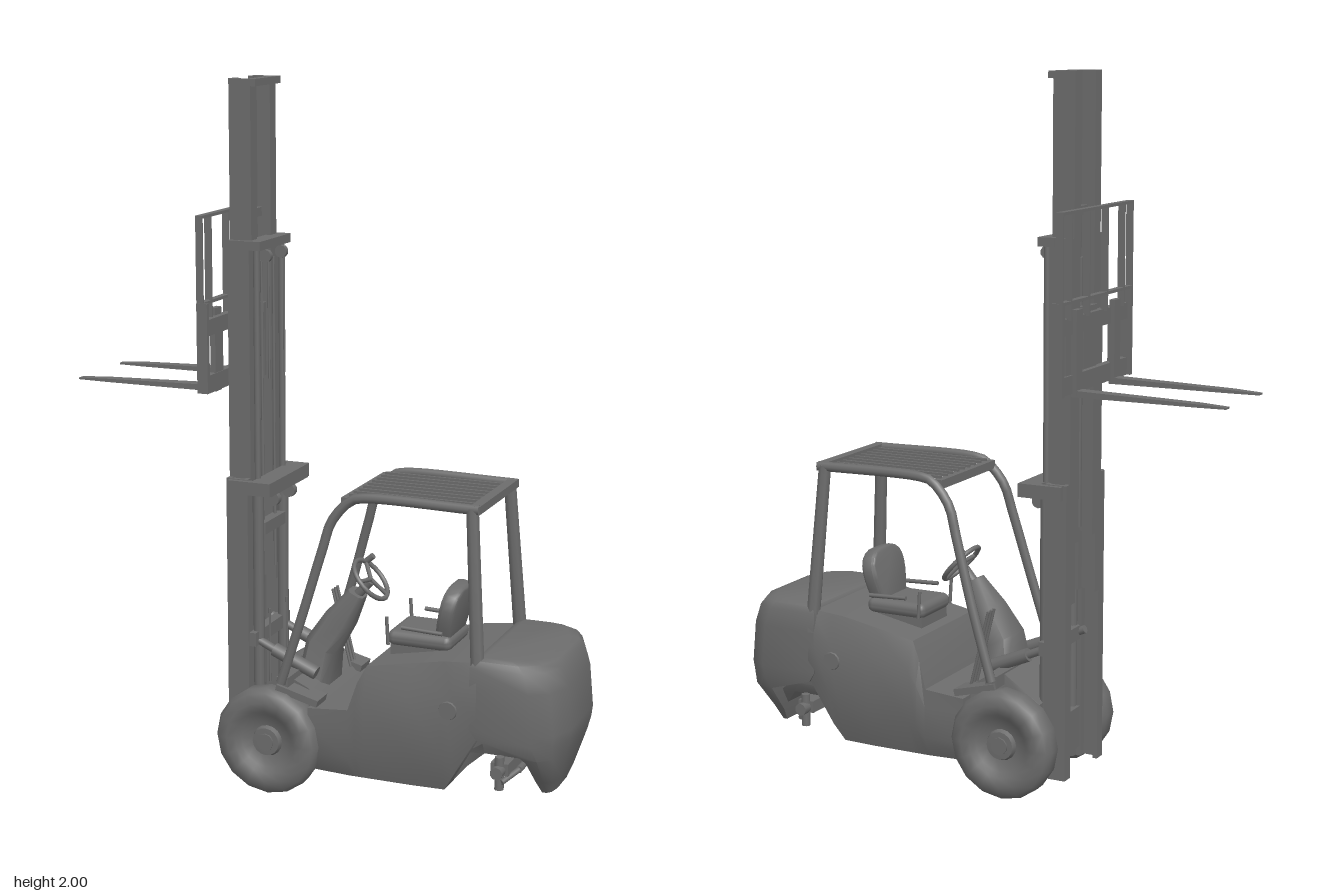
import * as THREE from 'three';
import { toCreasedNormals } from 'three/addons/utils/BufferGeometryUtils.js';
import { RoundedBoxGeometry } from 'three/addons/geometries/RoundedBoxGeometry.js';

const mat = new THREE.MeshStandardMaterial({ color: 0x6c6c6c, side: THREE.DoubleSide });
const V = (x, y, z) => new THREE.Vector3(x, y, z);

export function createModel() {
  const root = new THREE.Group();
  root.name = 'forklift';
  const add = (name, geo, parent = root) => {
    const m = new THREE.Mesh(geo, mat);
    m.name = name;
    parent.add(m);
    return m;
  };
  const group = (name) => {
    const g = new THREE.Group();
    g.name = name;
    root.add(g);
    return g;
  };
  // Box given by its extents on each axis
  const box = (name, x0, x1, y0, y1, z0, z1, parent) => {
    const m = add(name, new THREE.BoxGeometry(x1 - x0, y1 - y0, z1 - z0), parent);
    m.position.set((x0 + x1) / 2, (y0 + y1) / 2, (z0 + z1) / 2);
    return m;
  };
  // Round bar between two points
  const rod = (name, a, b, r, parent, r2 = r, sides = 10) => {
    const m = add(name, new THREE.CylinderGeometry(r2, r, a.distanceTo(b), sides), parent);
    m.position.copy(a).add(b).multiplyScalar(0.5);
    m.quaternion.setFromUnitVectors(V(0, 1, 0), b.clone().sub(a).normalize());
    return m;
  };
  // Skin over a list of rings, capped at both ends
  const loft = (rings, crease = 0.6) => {
    const n = rings[0].length, pts = rings.flat(), idx = [];
    for (let i = 0; i < rings.length - 1; i++) for (let j = 0; j < n; j++) {
      const a = i * n + j, b = i * n + (j + 1) % n;
      idx.push(a, b, a + n, b, b + n, a + n);
    }
    const last = (rings.length - 1) * n;
    for (let j = 1; j < n - 1; j++) idx.push(0, j + 1, j, last, last + j, last + j + 1);
    // turn all faces outward
    let vol = 0;
    for (let i = 0; i < idx.length; i += 3)
      vol += pts[idx[i]].dot(pts[idx[i + 1]].clone().cross(pts[idx[i + 2]]));
    if (vol < 0) idx.reverse();
    const g = new THREE.BufferGeometry().setFromPoints(pts);
    g.setIndex(idx);
    return toCreasedNormals(g, crease);
  };
  // Body section at x: bottom, top, half widths at bottom, waist and top
  const section = ([x, b, t, wb, wm, wt]) => {
    const h = t - b;
    const half = [[wb, b], [wm, b + h * 0.3], [wm, b + h * 0.75], [wt, t]];
    return [...half.map(([z, y]) => V(x, y, z)), ...half.reverse().map(([z, y]) => V(x, y, -z))];
  };

  // Chassis with step, hood and rear arch
  add('chassis', loft([
    [0.0, 0.08, 0.27, 0.17, 0.2, 0.2], [0.12, 0.08, 0.28, 0.18, 0.205, 0.2],
    [0.145, 0.08, 0.36, 0.18, 0.21, 0.19], [0.17, 0.08, 0.41, 0.18, 0.21, 0.18],
    [0.3, 0.08, 0.435, 0.18, 0.212, 0.18], [0.4, 0.08, 0.455, 0.175, 0.212, 0.185],
    [0.43, 0.13, 0.458, 0.19, 0.212, 0.188], [0.5, 0.25, 0.465, 0.2, 0.212, 0.19],
  ].map(section)));
  add('frontChassis', loft([
    [-0.2, 0.12, 0.26, 0.11, 0.13, 0.12], [-0.1, 0.09, 0.34, 0.13, 0.14, 0.14],
    [-0.02, 0.08, 0.31, 0.14, 0.15, 0.15], [0.02, 0.08, 0.27, 0.14, 0.16, 0.16],
  ].map(section)));
  // Belly closing the arch between chassis and counterweight
  add('underbelly', loft([
    [0.4, 0.085, 0.3, 0.13, 0.15, 0.15], [0.45, 0.14, 0.3, 0.13, 0.15, 0.15],
    [0.5, 0.185, 0.3, 0.13, 0.15, 0.15], [0.6, 0.185, 0.3, 0.13, 0.15, 0.15],
    [0.66, 0.12, 0.3, 0.09, 0.13, 0.13],
  ].map(section)));

  // Counterweight: level outlines [y, front x, rear x, half width]
  add('counterweight', loft([
    [0.08, 0.655, 0.685, 0.09], [0.12, 0.645, 0.7, 0.12], [0.21, 0.635, 0.725, 0.2],
    [0.25, 0.5, 0.735, 0.208], [0.28, 0.48, 0.738, 0.212], [0.4, 0.48, 0.727, 0.212],
    [0.455, 0.48, 0.71, 0.208], [0.473, 0.49, 0.695, 0.2], [0.48, 0.51, 0.67, 0.185],
  ].map(([y, f, r, w]) => {
    const c = Math.min(0.08, (r - f) * 0.6);
    const half = [[f, w], [r - c, w], [r - c * 0.35, w * 0.85], [r, w * 0.5]];
    return [...half.map(([x, z]) => V(x, y, z)), ...half.reverse().map(([x, z]) => V(x, y, -z))];
  }), 0.8));

  // Rear steering axle
  const axle = group('rearAxle');
  box('axleBeam', 0.525, 0.575, 0.135, 0.17, -0.15, 0.15, axle);
  box('axleMount', 0.52, 0.58, 0.16, 0.27, -0.07, 0.07, axle);
  rod('steeringRam', V(0.59, 0.14, -0.1), V(0.59, 0.14, 0.1), 0.01, axle);

  // Drive wheels: domed tyre with recessed rim and hub
  const tyre = [[0.03, -0.035], [0.09, -0.04], [0.145, -0.036], [0.156, -0.02], [0.157, 0.018],
    [0.145, 0.035], [0.118, 0.042], [0.092, 0.038], [0.078, 0.024], [0.045, 0.016], [0.04, 0.03], [0, 0.032]];
  for (const s of [1, -1]) {
    const wheel = add('frontWheel', toCreasedNormals(
      new THREE.LatheGeometry(tyre.map(([r, y]) => new THREE.Vector2(r, y)), 16), 0.9));
    wheel.rotation.x = s * Math.PI / 2;
    wheel.position.set(-0.123, 0.157, s * 0.186);
    rod('wheelHub', V(-0.123, 0.157, s * 0.12), V(-0.123, 0.157, s * 0.222), 0.025);
    // Axle ends without wheels
    rod('kingpin', V(0.55, 0.095, s * 0.15), V(0.55, 0.19, s * 0.15), 0.013, axle);
    rod('stubAxle', V(0.55, 0.15, s * 0.13), V(0.55, 0.15, s * 0.18), 0.018, axle);
    rod('trackRod', V(0.59, 0.14, s * 0.1), V(0.56, 0.12, s * 0.16), 0.008, axle);
    // Side filler cap and mudguard lip
    rod('sideCap', V(0.42, 0.325, s * 0.19), V(0.42, 0.325, s * 0.217), 0.035, root, 0.025, 12);
    box('fender', -0.1, 0.03, 0.29, 0.31, s > 0 ? 0.13 : -0.2, s > 0 ? 0.2 : -0.13).rotation.z = -0.25;
  }

  // Overhead guard
  const guard = group('overheadGuard');
  for (const s of [1, -1]) {
    const path = [[-0.085, 0.33, 0.192], [-0.02, 0.54, 0.185], [0.035, 0.73, 0.173], [0.06, 0.81, 0.167],
      [0.115, 0.872, 0.162], [0.15, 0.882, 0.162], [0.485, 0.882, 0.162]];
    add('guardRail', new THREE.TubeGeometry(new THREE.CatmullRomCurve3(
      path.map(([x, y, z]) => V(x, y, z * s)), false, 'centripetal'), 32, 0.014, 8), guard);
    rod('rearPost', V(0.495, 0.45, s * 0.187), V(0.465, 0.885, s * 0.16), 0.02, guard, 0.018, 8);
  }
  for (let i = 0; i < 9; i++) {
    const z = -0.136 + i * 0.034;
    box('roofSlat', 0.1, 0.48, 0.877, 0.885, z - 0.004, z + 0.004, guard);
  }
  box('roofRearBar', 0.46, 0.488, 0.87, 0.893, -0.17, 0.17, guard);
  box('roofFrontBar', 0.085, 0.11, 0.853, 0.878, -0.16, 0.16, guard);
  box('guardFootBar', -0.1, -0.065, 0.31, 0.345, -0.19, 0.19, guard);

  // Seat
  const seat = group('seat');
  box('seatBase', 0.2, 0.37, 0.41, 0.45, -0.075, 0.075, seat);
  add('cushion', new RoundedBoxGeometry(0.19, 0.045, 0.17, 2, 0.02), seat).position.set(0.285, 0.465, 0);
  const back = new THREE.Shape();
  back.moveTo(-0.045, 0).lineTo(0.045, 0);
  back.bezierCurveTo(0.09, 0.1, 0.1, 0.16, 0.03, 0.172);
  back.lineTo(-0.03, 0.172);
  back.bezierCurveTo(-0.1, 0.16, -0.09, 0.1, -0.045, 0);
  const backrest = add('seatBack', toCreasedNormals(new THREE.ExtrudeGeometry(back, {
    depth: 0.025, bevelSize: 0.008, bevelThickness: 0.01, bevelSegments: 2, curveSegments: 8 })
    .rotateY(Math.PI / 2), 0.8), seat);
  backrest.position.set(0.33, 0.45, 0);
  backrest.rotation.z = -0.22;
  for (const s of [1, -1]) {
    rod('armrest', V(0.24, 0.505, s * 0.095), V(0.36, 0.5, s * 0.095), 0.006, seat);
    rod('armrestFront', V(0.2, 0.45, s * 0.095), V(0.195, 0.53, s * 0.095), 0.005, seat);
  }

  // Steering column, wheel and levers
  const steering = group('steering');
  add('cowl', loft([[-0.045, 0.3, 0.045, 0.08], [-0.03, 0.4, 0.042, 0.06], [0.02, 0.48, 0.038, 0.045],
    [0.07, 0.56, 0.022, 0.03]].map(([x, y, d, w]) =>
    [[1, 0.6], [0.6, 1], [-0.6, 1], [-1, 0.6], [-1, -0.6], [-0.6, -1], [0.6, -1], [1, -0.6]]
      .map(([a, b]) => V(x + a * d, y - a * d * 0.5, b * w))), 0.9), steering);
  rod('column', V(0.05, 0.53, 0), V(0.108, 0.598, 0), 0.014, steering);
  const wheel = new THREE.Group();
  wheel.name = 'steeringWheel';
  wheel.position.set(0.11, 0.603, 0);
  wheel.quaternion.setFromUnitVectors(V(0, 0, 1), V(0.75, 0.66, 0).normalize());
  steering.add(wheel);
  add('rim', new THREE.TorusGeometry(0.066, 0.007, 8, 24), wheel);
  for (let i = 0; i < 3; i++) {
    const a = Math.PI / 2 + i * Math.PI * 2 / 3;
    rod('spoke', V(0, 0, 0), V(Math.cos(a) * 0.066, Math.sin(a) * 0.066, 0), 0.006, wheel);
  }
  rod('spinnerKnob', V(0, 0.066, 0), V(0, 0.066, 0.03), 0.009, wheel);
  for (let i = 0; i < 3; i++)
    rod('lever', V(0.0, 0.29, -0.12 - i * 0.018), V(-0.06, 0.52, -0.125 - i * 0.018), 0.004, steering);

  // Mast: three nested pairs of channels [name, bottom, top, inner z, outer z]
  const mast = group('mast');
  for (const [name, y0, y1, zi, zo] of [['outerChannel', 0.05, 0.89, 0.09, 0.125],
    ['middleChannel', 0.55, 1.56, 0.066, 0.102], ['innerChannel', 0.72, 2, 0.045, 0.084]]) {
    for (const s of [1, -1]) {
      const [a, w, b] = [s * zi, s * (zo - 0.012), s * zo];
      const c = new THREE.Shape([[-0.28, a], [-0.28, b], [-0.215, b], [-0.215, a], [-0.228, a],
        [-0.228, w], [-0.267, w], [-0.267, a]].map(([x, z]) => new THREE.Vector2(x, -z)));
      add(name, new THREE.ExtrudeGeometry(c, { depth: y1 - y0, bevelEnabled: false })
        .rotateX(-Math.PI / 2), mast).position.y = y0;
    }
  }
  box('innerTopBar', -0.225, -0.2, 1.98, 2, -0.084, 0.084, mast);
  box('middleTopBar', -0.23, -0.18, 1.535, 1.56, -0.105, 0.105, mast);
  box('middleLowerBar', -0.215, -0.185, 0.72, 0.755, -0.07, 0.07, mast);
  box('outerTopBar', -0.2, -0.14, 0.848, 0.888, -0.13, 0.13, mast);
  box('outerLowerBar', -0.225, -0.195, 0.4, 0.44, -0.12, 0.12, mast);
  box('outerFootBar', -0.225, -0.195, 0.08, 0.2, -0.12, 0.12, mast);
  for (const s of [1, -1]) {
    box('outerTopBracket', -0.27, -0.14, 0.85, 0.888, s * 0.13 - 0.01, s * 0.13 + 0.01, mast);
    rod('liftCylinder', V(-0.2, 0.1, s * 0.085), V(-0.2, 0.86, s * 0.085), 0.016, mast);
    rod('liftRod', V(-0.2, 0.86, s * 0.085), V(-0.2, 1.54, s * 0.085), 0.009, mast);
    rod('hosePulley', V(-0.185, 1.515, s * 0.045), V(-0.185, 1.515, s * 0.06), 0.018, mast);
    rod('hose', V(-0.178, 1.17, s * 0.052), V(-0.178, 1.52, s * 0.052), 0.003, mast);
    rod('lowerHose', V(-0.178, 0.28, s * 0.06), V(-0.178, 0.5, s * 0.06), 0.003, mast);
    rod('lowerPulley', V(-0.165, 0.825, s * 0.045), V(-0.165, 0.825, s * 0.065), 0.02, mast);
    rod('liftChain', V(-0.205, 0.6, s * 0.04), V(-0.205, 1.5, s * 0.04), 0.004, mast);
    rod('tiltCylinder', V(-0.15, 0.39, s * 0.09), V(-0.02, 0.335, s * 0.09), 0.02, mast);
    rod('tiltRod', V(-0.24, 0.43, s * 0.09), V(-0.15, 0.39, s * 0.09), 0.012, mast);
  }
  rod('centreCylinder', V(-0.25, 0.75, 0), V(-0.25, 1.5, 0), 0.016, mast);
  rod('centreRod', V(-0.25, 1.5, 0), V(-0.25, 1.62, 0), 0.01, mast);
  box('centreHead', -0.265, -0.235, 1.615, 1.64, -0.03, 0.03, mast);

  // Carriage, load backrest and forks
  const carriage = group('carriage');
  box('lowerBar', -0.305, -0.283, 1.15, 1.2, -0.225, 0.225, carriage);
  box('upperBar', -0.305, -0.283, 1.31, 1.355, -0.225, 0.225, carriage);
  box('backrestTop', -0.315, -0.295, 1.632, 1.64, -0.228, 0.228, carriage);
  box('backrestFoot', -0.315, -0.295, 1.395, 1.403, -0.228, 0.228, carriage);
  box('carriageCore', -0.29, -0.27, 1.19, 1.37, -0.04, 0.04, carriage);
  for (const s of [1, -1]) {
    box('carriageSide', -0.315, -0.283, 1.15, 1.4, s * 0.222 - 0.007, s * 0.222 + 0.007, carriage);
    box('rollerPlate', -0.29, -0.23, 1.16, 1.37, s * 0.036 - 0.006, s * 0.036 + 0.006, carriage);
    box('supportPlate', -0.3, -0.285, 1.19, 1.32, s * 0.15 - 0.025, s * 0.15 + 0.025, carriage);
    for (const z of [0.225, 0.17, 0.058])
      box('backrestBar', -0.315, -0.295, 1.35, 1.64, s * z - 0.003, s * z + 0.003, carriage);
    box('forkShank', -0.316, -0.3, 1.14, 1.375, s * 0.123 - 0.02, s * 0.123 + 0.02, carriage);
    add('forkBlade', loft([[-0.303, 0.02, 1.158], [-0.66, 0.016, 1.149], [-0.74, 0.011, 1.145]].map(([x, w, t]) =>
      [[w, 1.14], [w, t], [-w, t], [-w, 1.14]].map(([z, y]) => V(x, y, s * 0.123 + z))), 0.3), carriage);
  }
  return root;
}
